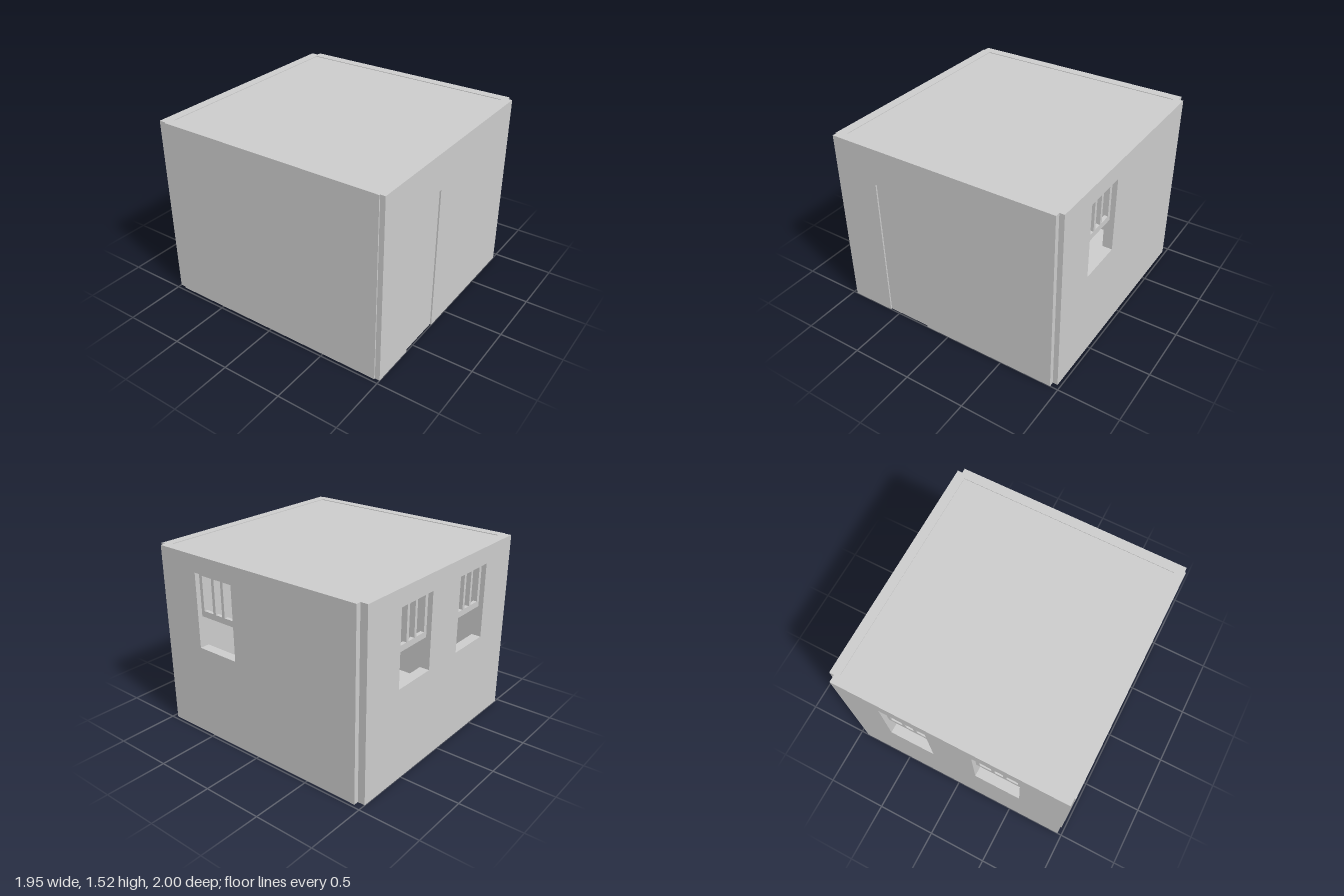
import * as THREE from 'three';

const H = 1.52, T = 0.08, W = 1.9;
const material = new THREE.MeshStandardMaterial({ color: 0xcccccc, flatShading: true });

function rect(Type, x0, y0, x1, y1) {
  const p = new Type();
  p.moveTo(x0, y0);
  p.lineTo(x1, y0);
  p.lineTo(x1, y1);
  p.lineTo(x0, y1);
  p.closePath();
  return p;
}

function panel(name, outline, holes, depth) {
  outline.holes.push(...holes);
  const geometry = new THREE.ExtrudeGeometry(outline, { depth, bevelEnabled: false });
  const mesh = new THREE.Mesh(geometry, material);
  mesh.name = name;
  return mesh;
}

function box(name, size, position) {
  const mesh = new THREE.Mesh(new THREE.BoxGeometry(...size), material);
  mesh.name = name;
  mesh.position.set(...position);
  return mesh;
}

// Wall seen from outside: local x runs right from its left edge, outer face at local z = 0
const WIN = { w: 0.385, y0: 0.76, y1: 1.38, sash: 1.015 };

function wall(name, windows = [], door = null) {
  const group = new THREE.Group();
  group.name = name;
  const outline = rect(THREE.Shape, 0, 0, W, H);
  const holes = windows.map(x => rect(THREE.Path, x, WIN.y0, x + WIN.w, WIN.y1));
  let shape = outline;
  if (door) {
    // Doorway is open at the floor, so it is cut into the outline
    shape = new THREE.Shape([
      [0, 0], [door.x0, 0], [door.x0, door.h], [door.x1, door.h],
      [door.x1, 0], [W, 0], [W, H], [0, H],
    ].map(([x, y]) => new THREE.Vector2(x, y)));
    const d = T - 0.025;
    group.add(box('door', [door.x1 - door.x0, door.h, d],
      [(door.x0 + door.x1) / 2, door.h / 2, -0.012 - d / 2]));
  }
  const body = panel(name + 'Panel', shape, holes, T);
  body.position.z = -T;
  group.add(body);

  // Raised sash with three panes, the middle one narrower
  for (const x of windows) {
    const panes = [[0.03, 0.13], [0.158, 0.228], [0.255, 0.352]]
      .map(([a, b]) => rect(THREE.Path, x + a, 1.065, x + b, 1.35));
    const sash = panel('windowSash', rect(THREE.Shape, x, WIN.sash, x + WIN.w, WIN.y1), panes, 0.03);
    sash.position.z = -0.07;
    group.add(sash);
  }
  return group;
}

export function createModel() {
  const room = new THREE.Group();
  room.name = 'room';

  // Walls
  const front = wall('frontWall', [], { x0: 0.375, x1: 0.757, h: 1.22 });
  front.position.set(-0.965, 0, 1);

  const back = wall('backWall', [0.375, 1.135]);
  back.rotation.y = Math.PI;
  back.position.set(0.935, 0, -1);

  const left = wall('leftWall', [0.375]);
  left.rotation.y = Math.PI / 2;
  left.position.set(0.975, 0, 0.96);

  const right = wall('rightWall');
  right.rotation.y = -Math.PI / 2;
  right.position.set(-0.975, 0, -0.94);

  room.add(front, back, left, right);

  // Floor and ceiling
  room.add(box('floor', [W - 0.02, 0.02, W + 0.04], [-0.01, 0.01, 0]));
  room.add(box('ceiling', [1.84, 0.03, 1.88], [0, H - 0.02, 0]));
  return room;
}
